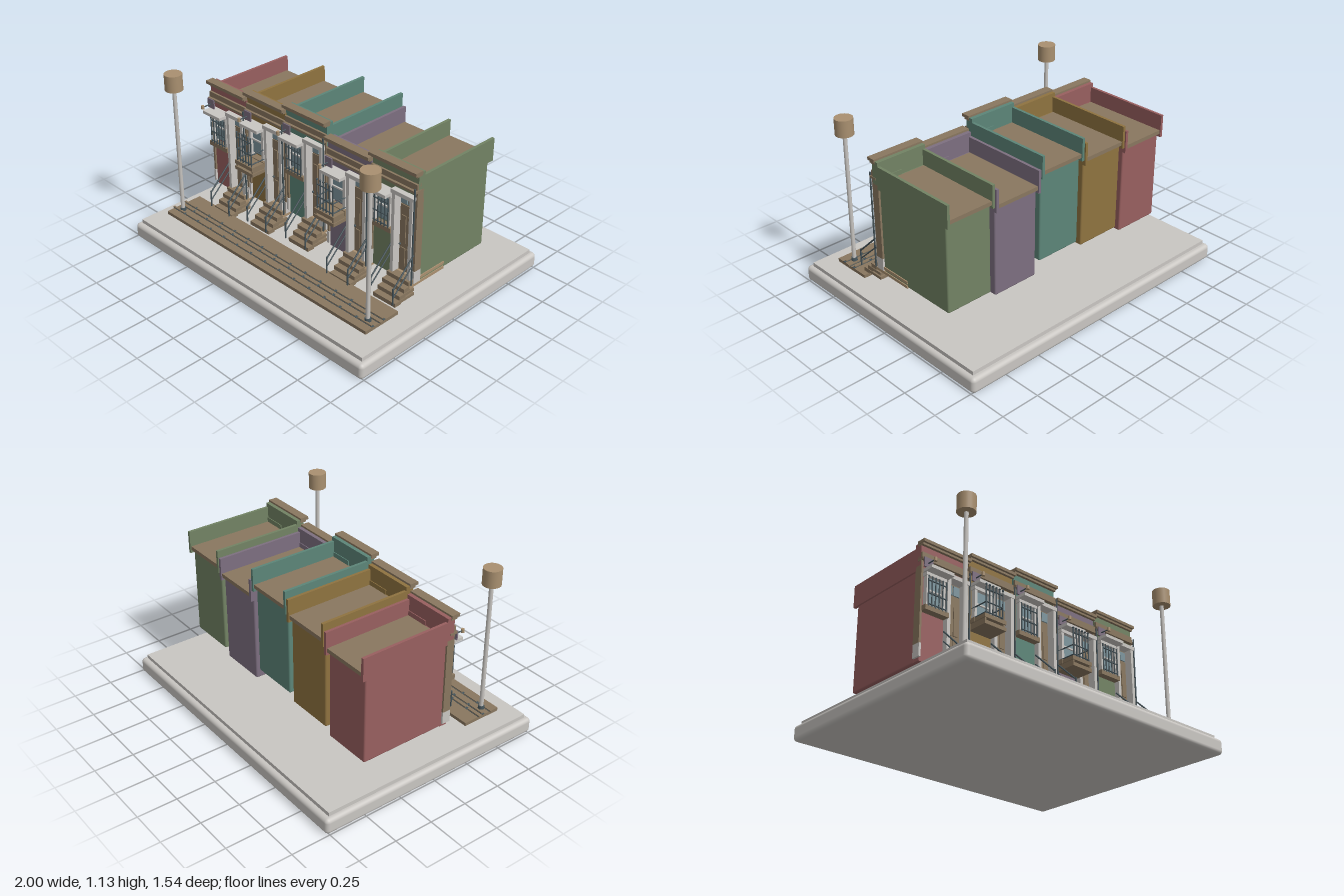
import * as THREE from 'three';
import { RoundedBoxGeometry } from 'three/addons/geometries/RoundedBoxGeometry.js';

const mat = (name, color) => {
  const m = new THREE.MeshStandardMaterial({ color });
  m.name = name;
  return m;
};
const red = mat('brick red', 0x985f5f), gold = mat('ochre', 0x8f7340), teal = mat('teal', 0x5c8578);
const purple = mat('mauve', 0x7d6f80), green = mat('sage', 0x728364), brown = mat('brown wood', 0x89775f);
const tan = mat('lamp tan', 0xa99070), stone = mat('pale stone', 0xc9c6c2);
const iron = mat('dark iron', 0x46545a), glass = mat('glass', 0x7d959d);

function add(parent, name, geometry, material, x = 0, y = 0, z = 0) {
  const m = new THREE.Mesh(geometry, material);
  m.name = name;
  m.position.set(x, y, z);
  parent.add(m);
  return m;
}

// Box given by its limits on each axis
function box(parent, name, material, x0, x1, y0, y1, z0, z1) {
  return add(parent, name, new THREE.BoxGeometry(x1 - x0, y1 - y0, z1 - z0), material,
    (x0 + x1) / 2, (y0 + y1) / 2, (z0 + z1) / 2);
}

// Round bar between two points
function bar(parent, name, material, a, b, r = 0.004) {
  const p = new THREE.Vector3(...a), q = new THREE.Vector3(...b), d = q.clone().sub(p);
  const m = add(parent, name, new THREE.CylinderGeometry(r, r, d.length(), 8), material);
  m.position.copy(p).add(q).multiplyScalar(0.5);
  m.quaternion.setFromUnitVectors(new THREE.Vector3(0, 1, 0), d.normalize());
  return m;
}

// Barred window; the caged kind stands on a small balcony
function windowUnit(caged) {
  const g = new THREE.Group();
  g.name = 'window';
  box(g, 'windowGlass', glass, -0.05, 0.05, 0.34, 0.52, 0.2, 0.21);
  for (const s of [-1, 1]) box(g, 'windowJamb', stone, s * 0.057 - 0.009, s * 0.057 + 0.009, 0.32, 0.54, 0.2, 0.23);
  box(g, 'windowHead', stone, -0.072, 0.072, 0.515, 0.54, 0.2, 0.235);
  box(g, 'windowHood', stone, -0.08, 0.08, 0.535, 0.555, 0.2, 0.29);
  box(g, 'windowMeetingRail', stone, -0.05, 0.05, 0.428, 0.438, 0.2, 0.22);
  box(g, 'windowSill', brown, -0.083, 0.083, 0.295, 0.325, 0.19, 0.245);
  const z = caged ? 0.325 : 0.243, w = 0.063;
  for (let i = 0; i < 6; i++) {
    const x = -w + i * w * 0.4;
    bar(g, 'windowBar', iron, [x, 0.32, z], [x, 0.51, z]);
    if (caged) add(g, 'barFinial', new THREE.SphereGeometry(0.007, 8, 6), iron, x, 0.512, z);
  }
  for (const y of [0.335, 0.4, 0.48]) {
    bar(g, 'windowCrossBar', iron, [-w, y, z], [w, y, z]);
    if (caged && y < 0.45) for (const s of [-1, 1]) bar(g, 'cageSideBar', iron, [s * w, y, 0.2], [s * w, y, z]);
  }
  if (caged) {
    box(g, 'balconyTop', brown, -0.08, 0.08, 0.295, 0.32, 0.2, 0.335);
    box(g, 'balconyBase', brown, -0.08, 0.08, 0.255, 0.278, 0.2, 0.335);
    for (const s of [-1, 1]) box(g, 'balconyStrut', brown, s * 0.07 - 0.005, s * 0.07 + 0.005, 0.278, 0.295, 0.2, 0.33);
  }
  return g;
}

// Panelled door in a deep stone surround
function doorway() {
  const g = new THREE.Group();
  g.name = 'doorway';
  box(g, 'doorLeaf', brown, -0.052, 0.052, 0.04, 0.475, 0.165, 0.185);
  for (const s of [-1, 1]) {
    box(g, 'doorJamb', stone, s * 0.064 - 0.011, s * 0.064 + 0.011, -0.01, 0.56, 0.165, 0.235);
    for (const [y0, y1] of [[0.08, 0.2], [0.23, 0.41]])
      box(g, 'doorPanel', brown, s * 0.023 - 0.016, s * 0.023 + 0.016, y0, y1, 0.185, 0.191);
    box(g, 'transomPane', glass, s * 0.026 - 0.022, s * 0.026 + 0.022, 0.485, 0.545, 0.17, 0.188);
  }
  box(g, 'transomFrame', brown, -0.053, 0.053, 0.475, 0.555, 0.165, 0.18);
  box(g, 'doorHead', stone, -0.08, 0.08, 0.555, 0.58, 0.165, 0.24);
  add(g, 'doorKnob', new THREE.SphereGeometry(0.007, 10, 8), iron, -0.042, 0.22, 0.193);
  return g;
}

// Open steps with sloping handrails
function stoop() {
  const g = new THREE.Group();
  g.name = 'stoop';
  for (let i = 0; i < 4; i++) {
    const top = 0.045 - i * 0.03, front = 0.25 + i * 0.036;
    box(g, 'step', i < 2 ? tan : brown, -0.083, 0.083, top - 0.018, top, i < 2 ? -0.05 : 0.2, front - 0.045);
    box(g, 'stepTread', brown, -0.083, 0.083, top - 0.026, top, front - 0.05, front);
  }
  for (const x of [-0.085, 0.085]) {
    bar(g, 'handrail', iron, [x, 0.215, 0.22], [x, 0.06, 0.38], 0.005);
    bar(g, 'lowerRail', iron, [x, 0.155, 0.22], [x, 0.005, 0.38]);
    bar(g, 'railPost', iron, [x, -0.04, 0.38], [x, 0.07, 0.38], 0.005);
  }
  return g;
}

function house(name, paint, x, y, caged) {
  const g = new THREE.Group();
  g.name = name;
  g.position.set(x, y, 0);
  add(g, 'houseBody', new RoundedBoxGeometry(0.315, 0.585, 0.57, 2, 0.01), paint, 0, 0.2925, -0.12);
  box(g, 'frontWall', paint, -0.157, 0.005, 0, 0.6, 0.15, 0.2);
  box(g, 'wallOverDoor', paint, 0.005, 0.16, 0.575, 0.63, 0.15, 0.2);

  // Roof, side parapets and raised front parapet
  box(g, 'roof', brown, -0.155, 0.155, 0.575, 0.6, -0.425, 0.17);
  for (const s of [-1, 1]) {
    box(g, 'sideParapet', paint, s * 0.16 - 0.009, s * 0.16 + 0.009, 0.555, 0.7, -0.432, 0.165);
    box(g, 'cornerPilaster', brown, s * 0.162 - 0.007, s * 0.162 + 0.007, 0.1, 0.62, 0.16, 0.212);
    box(g, 'pilasterBase', stone, s * 0.162 - 0.007, s * 0.162 + 0.007, 0.02, 0.1, 0.16, 0.215);
  }
  bar(g, 'downpipe', iron, [0.166, 0.02, 0.232], [0.166, 0.64, 0.232], 0.005);
  box(g, 'frontParapet', paint, -0.169, 0.169, 0.58, 0.725, 0.155, 0.205);
  box(g, 'cornice', brown, -0.174, 0.174, 0.718, 0.737, 0.18, 0.237);
  box(g, 'corniceMoulding', brown, -0.17, 0.17, 0.705, 0.718, 0.18, 0.222);
  box(g, 'frieze', brown, -0.169, 0.169, 0.625, 0.66, 0.18, 0.218);
  box(g, 'friezeMoulding', brown, -0.171, 0.171, 0.608, 0.622, 0.18, 0.23);

  const win = windowUnit(caged);
  win.position.x = -0.075;
  const door = doorway(), steps = stoop();
  door.position.x = steps.position.x = 0.08;
  g.add(win, door, steps);

  // Wall lamp on a square plate
  box(g, 'lampPlate', purple, -0.167, -0.107, 0.56, 0.62, 0.23, 0.238);
  bar(g, 'lampArm', iron, [-0.14, 0.585, 0.2], [-0.14, 0.585, 0.3]);
  add(g, 'wallLamp', new THREE.CylinderGeometry(0.01, 0.01, 0.024, 12), tan, -0.14, 0.585, 0.3);
  return g;
}

function streetLamp(x) {
  const g = new THREE.Group();
  g.name = 'streetLamp';
  g.position.set(x, 0, 0.525);
  bar(g, 'lampPost', iron, [0, 0.17, 0], [0, 1.03, 0], 0.013).material = stone;
  add(g, 'postFoot', new THREE.CylinderGeometry(0.018, 0.02, 0.02, 16), iron, 0, 0.184, 0);
  add(g, 'lampHead', new THREE.CylinderGeometry(0.056, 0.056, 0.105, 24), tan, 0, 1.073, 0);
  return g;
}

export function createModel() {
  const model = new THREE.Group();
  model.name = 'rowHouses';

  // Stepped plinth
  add(model, 'plinth', new RoundedBoxGeometry(2, 0.1, 1.54, 4, 0.025), stone, 0, 0.05, 0);
  box(model, 'plinthTop', stone, -0.97, 0.97, 0.09, 0.125, -0.735, 0.735);

  // Street with raised rows of paving
  box(model, 'street', brown, -0.87, 0.87, 0.153, 0.174, 0.345, 0.605);
  [0.455, 0.49, 0.545].forEach((z, row) => {
    for (let i = 0; i < 14; i++) {
      const x = -0.88 + i * 0.1257 + (row % 2) * 0.02;
      box(model, 'pavingStrip', brown, x, x + 0.105, 0.172, 0.182, z - 0.006, z + 0.006);
    }
    box(model, 'pavingJoint', iron, -0.87, 0.87, 0.172, 0.176, z - 0.009, z + 0.009);
  });

  // Row of five houses at stepped heights
  [['redHouse', red, 0.228, false], ['ochreHouse', gold, 0.268, true], ['tealHouse', teal, 0.308, false],
    ['mauveHouse', purple, 0.228, true], ['sageHouse', green, 0.268, false]]
    .forEach(([name, paint, y, caged], i) => model.add(house(name, paint, -0.698 + i * 0.348, y, caged)));

  for (const x of [-0.813, 0.81]) model.add(streetLamp(x));
  return model;
}
